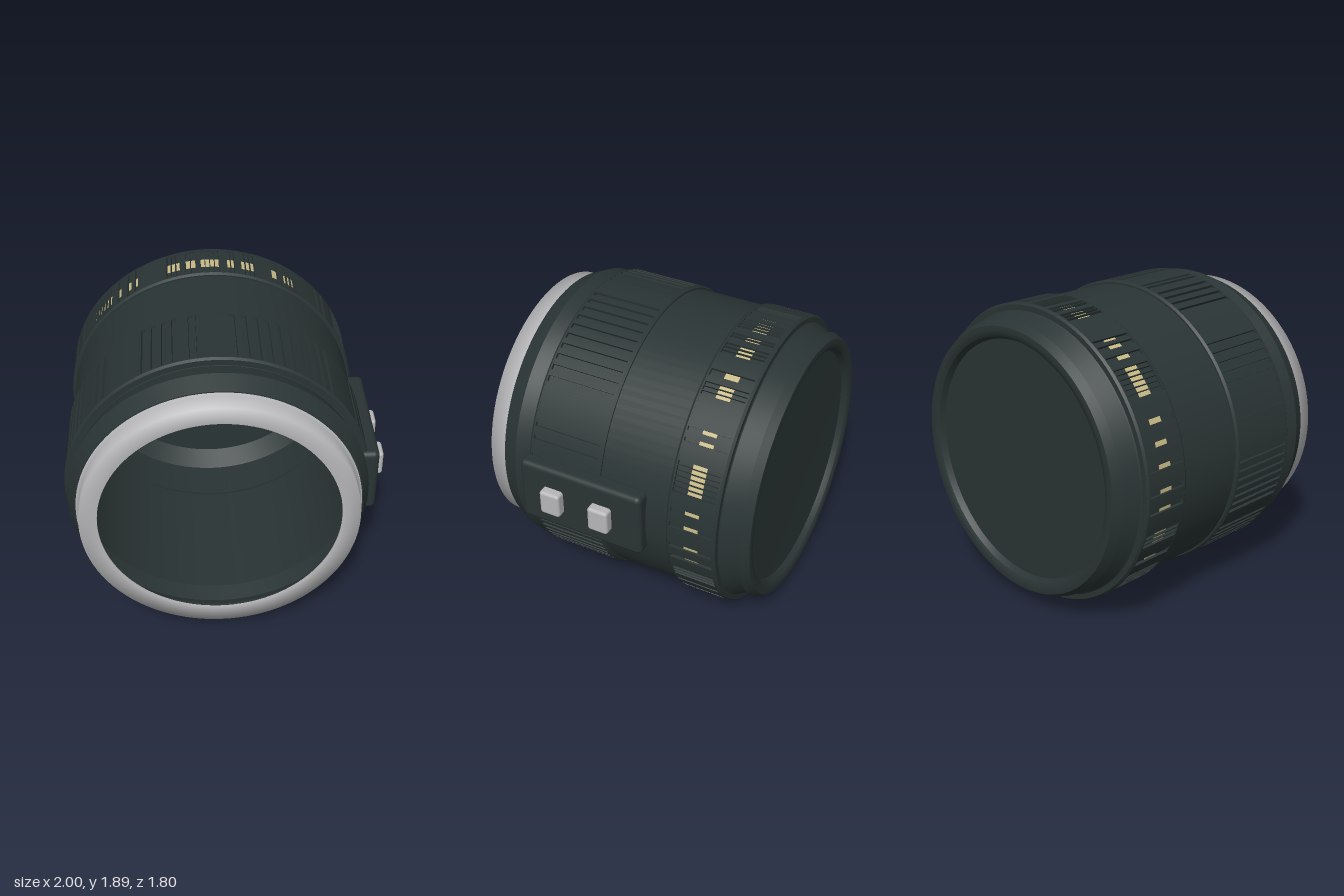
import * as THREE from 'three';
import { toCreasedNormals } from 'three/addons/utils/BufferGeometryUtils.js';
import { RoundedBoxGeometry } from 'three/addons/geometries/RoundedBoxGeometry.js';

const mat = (name, color) => Object.assign(new THREE.MeshStandardMaterial({ color }), { name });

export function createModel() {
  const black = mat('black shell', 0x2a3434);
  const silver = mat('silver metal', 0xb8b8ba);
  const gold = mat('gold markings', 0xc8b986);

  const model = new THREE.Group();
  model.name = 'cameraLens';
  const barrel = new THREE.Group();
  barrel.name = 'barrel';
  barrel.position.set(-0.054, 0.947, 0);
  model.add(barrel);

  const add = (parent, name, geometry, material) => {
    const mesh = new THREE.Mesh(geometry, material);
    mesh.name = name;
    parent.add(mesh);
    return mesh;
  };

  // Turned part along z; profile points are [radius, z]
  const turn = (name, profile, material, crease = 0.35) => {
    let g = new THREE.LatheGeometry(profile.map(([r, z]) => new THREE.Vector2(r, z)), 96);
    if (crease < Math.PI / 2) g = toCreasedNormals(g, crease);
    g.rotateX(Math.PI / 2);
    return add(barrel, name, g, material);
  };

  // Main shell: recessed rear cap, flared flange, barrel, front collar and thin-walled hollow inside
  turn('mainShell', [
    [0, -0.835], [0.755, -0.85], [0.765, -0.87], [0.775, -0.886], [0.79, -0.895], [0.815, -0.9], [0.842, -0.897],
    [0.872, -0.845], [0.84, -0.84], [0.897, -0.725], [0.925, -0.7],
    [0.925, 0.55], [0.895, 0.56], [0.923, 0.67], [0.873, 0.78], [0.84, 0.78], [0.838, 0.893], [0.74, 0.893],
    [0.74, 0.888], [0.832, 0.885], [0.832, 0.775], [0.865, 0.77], [0.912, 0.67], [0.888, 0.56], [0.915, 0.55],
    [0.915, -0.7], [0.83, -0.82], [0, -0.82],
  ], black);

  // Metal mount with a soft front edge
  turn('mountRing', [
    [0.866, 0.775], [0.866, 0.783], [0.845, 0.785], [0.845, 0.9], [0.735, 0.9], [0.735, 0.885],
  ], silver, Math.PI);

  // Curved block between two angles, in degrees from the top toward +x
  const sector = (name, from, to, r0, r1, z0, z1, material) => {
    const a = THREE.MathUtils.degToRad(90 - to);
    const b = THREE.MathUtils.degToRad(90 - from);
    const shape = new THREE.Shape();
    shape.absarc(0, 0, r1, a, b, false);
    shape.absarc(0, 0, r0, b, a, true);
    const g = new THREE.ExtrudeGeometry(shape, {
      depth: z1 - z0, bevelEnabled: false, curveSegments: Math.max(2, Math.ceil((to - from) / 3)),
    });
    g.translate(0, 0, z0);
    add(barrel, name, toCreasedNormals(g, 0.35), material);
  };

  // Grip ring: bevelled lips around a band that is cut by lengthwise slots.
  // Each run is [start, end, number of slots]; cut is the slot's share of its step.
  const gripRing = (name, z0, z1, runs, cut, onSlot) => {
    turn(name + 'Base', [
      [0.9, z0], [0.936, z0], [0.947, z0 + 0.015], [0.947, z0 + 0.024], [0.929, z0 + 0.025],
      [0.929, z1 - 0.025], [0.947, z1 - 0.024], [0.947, z1 - 0.015], [0.936, z1], [0.9, z1],
    ], black);
    const slots = runs.flatMap(([start, end, n]) => {
      const step = (end - start) / n;
      return Array.from({ length: n }, (_, i) => {
        const mid = start + step * (i + 0.5);
        const half = step * (n > 1 ? cut : 1) / 2;
        return [mid - half, mid + half];
      });
    });
    slots.forEach(([from, to], i) => {
      const next = i + 1 < slots.length ? slots[i + 1][0] : slots[0][0] + 360;
      sector(name + 'Rib', to, next, 0.92, 0.946, z0 + 0.02, z1 - 0.02, black);
      if (onSlot) onSlot(from, to);
    });
  };

  // Zoom ring with a gold mark at the bottom of each slot
  gripRing('zoomRing', -0.72, -0.395, [
    [-17.6, -12, 3], [-10, -5.8, 2], [-4, 3.4, 4], [6.4, 9.5, 2], [12, 17.6, 3],
    [24.8, 27.5, 1], [30, 35.4, 3], [47.3, 48.7, 1], [51.3, 52.7, 1], [59.5, 71.5, 6],
    [77.5, 79.5, 1], [83.7, 86, 1], [93.4, 95.6, 1], [99.8, 101.6, 1], [107.5, 114, 3],
    [118.2, 119.8, 1], [125.5, 137, 6], [141, 144, 2], [148, 151, 2], [157, 168, 6],
    [174, 180, 3], [186, 189, 1], [195, 204, 4], [210, 214, 2], [222, 234, 6],
    [240, 243, 1], [249, 255, 3], [263, 265, 1], [270, 272, 1], [279, 281, 1],
    [287, 289, 1], [295, 297, 1], [305, 317, 6], [320, 322, 1], [325, 327, 1], [328.5, 330, 1],
  ], 0.84, (from, to) => sector('goldMark', from, to, 0.924, 0.932, -0.6, -0.51, gold));

  // Focus ring with plain slots
  gripRing('focusRing', 0.06, 0.56, [
    [-29, -13, 4], [-10.5, -5, 2], [4, 48, 10], [62.5, 64, 1], [67.5, 69, 1], [75, 76.5, 1],
    [103, 140, 10], [149, 164, 4], [170, 215, 11], [222, 240, 5], [246, 272, 7], [285, 317, 8],
  ], 0.5);

  // Switch panel on the left side with two sliders
  const panel = add(model, 'switchPanel', new RoundedBoxGeometry(0.12, 0.444, 0.838, 4, 0.035), black);
  panel.position.set(0.88, 0.955, 0.167);
  for (const z of [0.347, 0.012]) {
    const slider = add(model, 'switchSlider', new RoundedBoxGeometry(0.08, 0.168, 0.137, 4, 0.02), silver);
    slider.position.set(0.96, 0.953, z);
  }
  return model;
}
